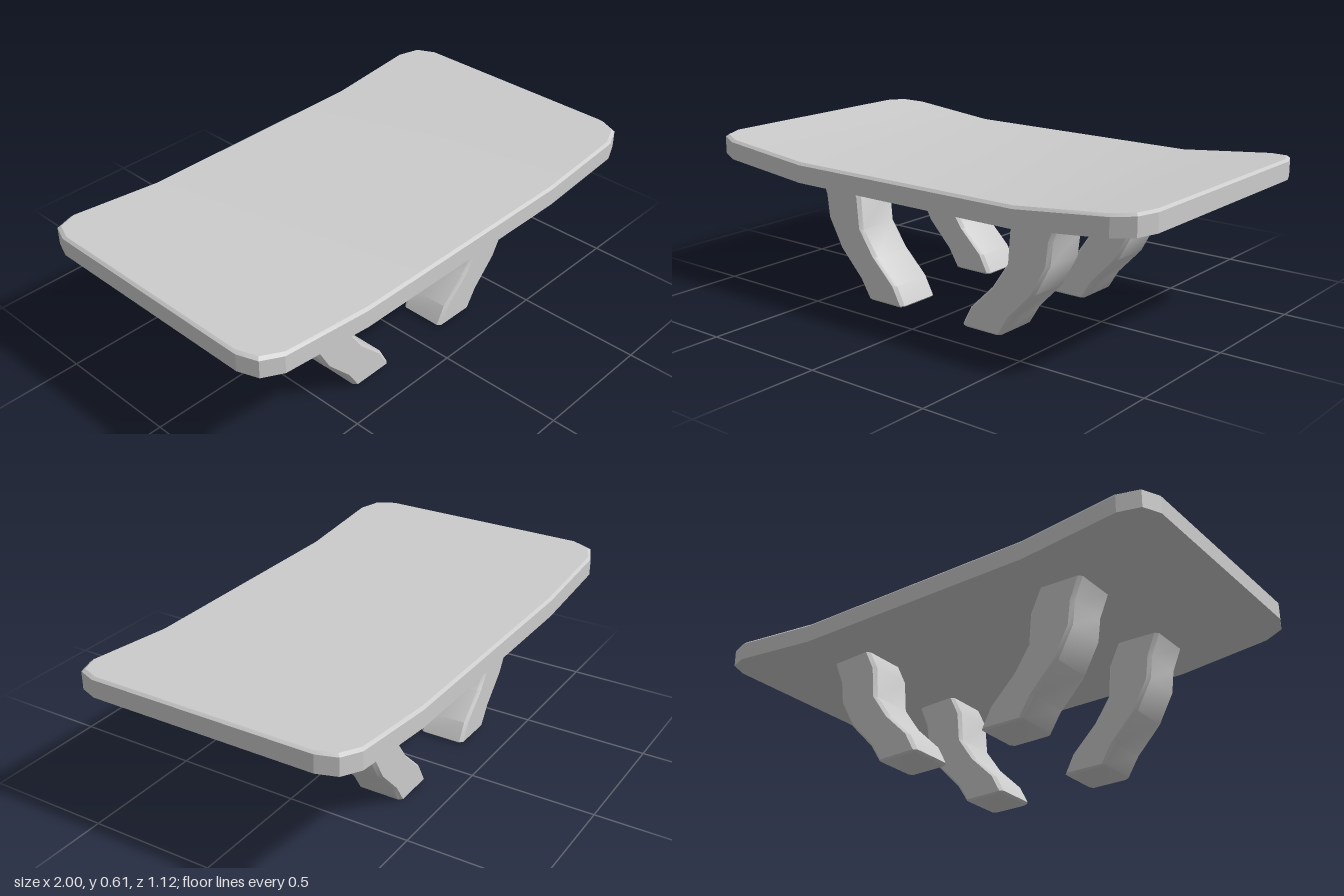
import * as THREE from 'three';
import { toCreasedNormals } from 'three/addons/utils/BufferGeometryUtils.js';

const material = new THREE.MeshStandardMaterial({ color: 0xcccccc });

// Skin a list of equal-length rings and close both ends with quad strips.
function loft(rings, crease) {
  const n = rings[0].length, last = (rings.length - 1) * n;
  const index = [];
  const quad = (a, b, c, d) => index.push(a, b, c, a, c, d);
  for (let i = 0; i < rings.length - 1; i++) {
    for (let j = 0; j < n; j++) {
      const k = (j + 1) % n;
      quad(i * n + j, i * n + k, (i + 1) * n + k, (i + 1) * n + j);
    }
  }
  for (let j = 0; j < n / 2 - 1; j++) {
    quad(n - 1 - j, n - 2 - j, j + 1, j);
    quad(last + j, last + j + 1, last + n - 2 - j, last + n - 1 - j);
  }
  const geometry = new THREE.BufferGeometry();
  geometry.setAttribute('position', new THREE.Float32BufferAttribute(rings.flat(2), 3));
  geometry.setIndex(index);
  return toCreasedNormals(geometry, crease);
}

// Slab with clipped corners, flat in the middle and turned up at both ends.
function tabletopGeometry() {
  const half = [[0.51, 0.56], [0.89, 0.56], [0.97, 0.525], [1, 0.45]]; // x, half depth
  const columns = [...half.map(([x, z]) => [-x, z]).reverse(), ...half];
  const lift = (x) => Math.max(0, Math.abs(x) - 0.51) * 0.1;
  const rings = columns.map(([x, z]) => {
    const xi = x * 0.99, zi = z - 0.01;
    const y = 0.487 + lift(x), yi = 0.566 + lift(xi);
    return [
      [x, y, -z], [x, y + 0.069, -z], [xi, yi, -zi],
      [xi, yi, zi], [x, y + 0.069, z], [x, y, z],
    ];
  });
  return loft(rings, 0.3);
}

// Curved leg: chamfered square section following outer and inner outlines.
function legGeometry() {
  const stations = [ // outer x, outer y, inner x, inner y, half depth
    [-0.323, 0, -0.157, 0, 0.088],
    [-0.332, 0.006, -0.148, 0.008, 0.095],
    [-0.378, 0.08, -0.186, 0.08, 0.095],
    [-0.48, 0.187, -0.287, 0.178, 0.095],
    [-0.543, 0.304, -0.357, 0.278, 0.095],
    [-0.554, 0.395, -0.367, 0.405, 0.095],
    [-0.59, 0.482, -0.407, 0.488, 0.095],
  ];
  const t = 0.07, b = 0.013;
  const rings = stations.map(([ox, oy, ix, iy, h]) => [
    [t, h], [1 - t, h], [1, h - b], [1, b - h],
    [1 - t, -h], [t, -h], [0, b - h], [0, h - b],
  ].map(([u, z]) => [ox + (ix - ox) * u, oy + (iy - oy) * u, z]));
  return loft(rings, 0.65);
}

export function createModel() {
  const group = new THREE.Group();
  group.name = 'table';

  const top = new THREE.Mesh(tabletopGeometry(), material);
  top.name = 'tabletop';
  group.add(top);

  // Four legs; the half turn mirrors the curve for the other side.
  const geometry = legGeometry();
  for (const [side, turn] of [['Right', 0], ['Left', Math.PI]]) {
    for (const [end, z] of [['front', 0.265], ['back', -0.265]]) {
      const leg = new THREE.Mesh(geometry, material);
      leg.name = `${end}${side}Leg`;
      leg.position.set(-0.03, 0, z);
      leg.rotation.y = turn;
      group.add(leg);
    }
  }
  return group;
}
